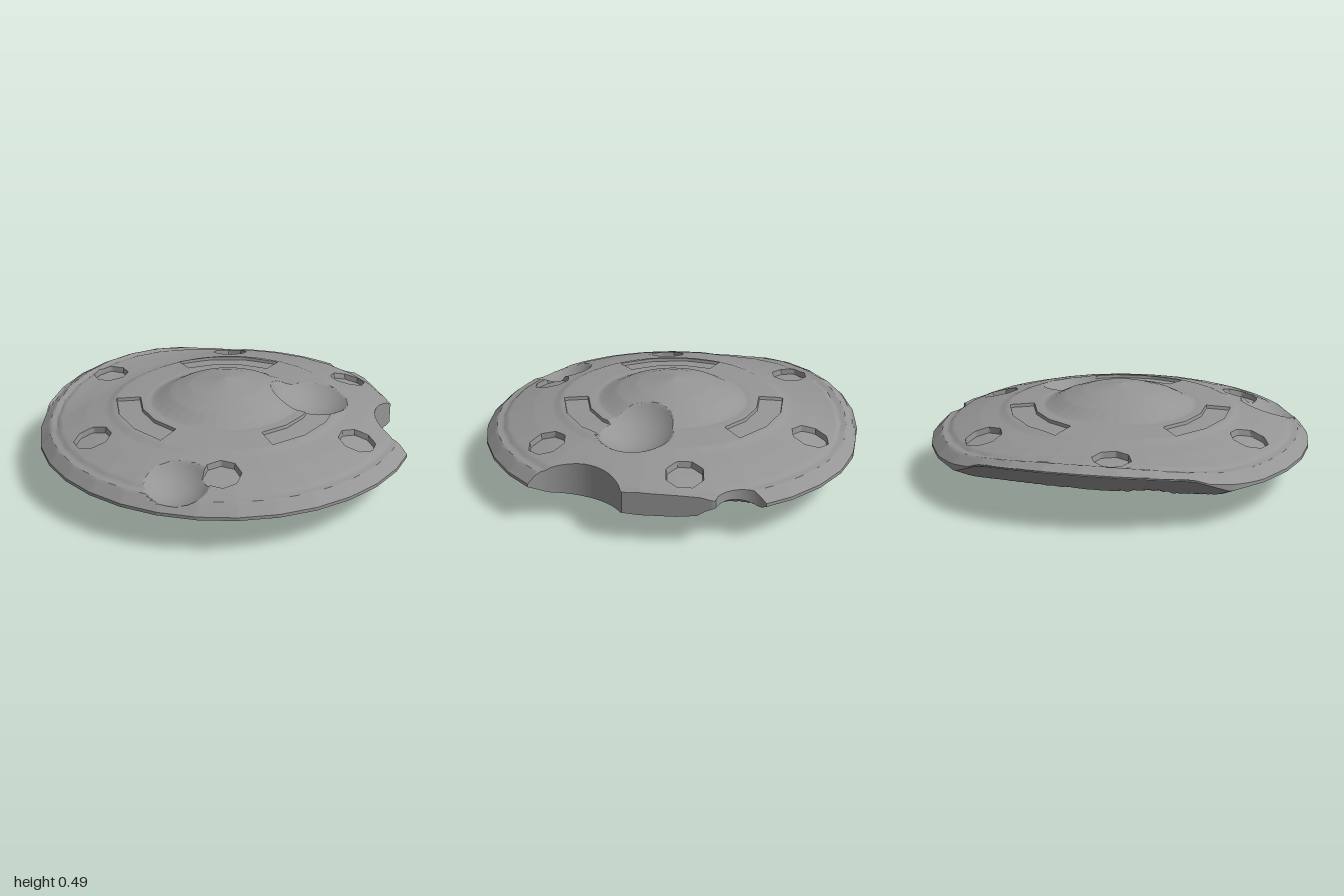
import * as THREE from 'three';
import { toCreasedNormals } from 'three/addons/utils/BufferGeometryUtils.js';

const CX = -0.03, SEGS = 480, SIDES = 32;
const TAU = Math.PI * 2;

// Radial profiles [radius, height] and the torn-away underside on the right flank [x, height]
const TOP = [[0, 0.49], [0.2, 0.452], [0.3, 0.42], [0.37, 0.385], [0.4, 0.373], [0.43, 0.374],
  [0.6, 0.362], [0.64, 0.346], [0.75, 0.323], [0.89, 0.283], [0.91, 0.268], [0.945, 0.264], [1, 0.212]];
const BOTTOM = [[0, 0], [0.2, 0.03], [0.3, 0.06], [0.38, 0.082], [0.65, 0.106], [0.9, 0.145], [1, 0.195]];
const TEAR = [[-0.97, 0.303], [-0.85, 0.27], [-0.75, 0.2], [-0.65, 0.13], [-0.6, 0.07], [-0.55, 0]];

// Spherical dents [x, y, z, radius]
const TOP_DENTS = [[0.33, 0.57, -0.33, 0.28], [0.35, 0.45, 0.8, 0.23]];
const BOTTOM_DENTS = [[0.08, -0.036, -0.95, 0.26], [-0.19, 0, 0.66, 0.13]];

const PORTHOLES = [[-0.53, -0.6], [0.23, -0.74], [0.73, -0.15], [0.46, 0.58], [-0.3, 0.72], [-0.79, 0.12]];
const SLOTS = [-130, 111, -4].map(THREE.MathUtils.degToRad);

function lerpTable(table, t) {
  if (t <= table[0][0]) return table[0][1];
  for (let i = 1; i < table.length; i++) {
    const [a, ya] = table[i - 1], [b, yb] = table[i];
    if (t <= b) return ya + (yb - ya) * (t - a) / (b - a);
  }
  return table[table.length - 1][1];
}

// Angle measured from the middle of the nearest facet
const facetAngle = (angle, step) => ((angle % step) + step) % step - step / 2;

// Radius of the faceted rim, squashed a little on the right flank
function rimRadius(angle) {
  const step = TAU / SIDES;
  const squash = 1 - 0.06 * Math.max(0, -Math.cos(angle)) ** 5;
  return squash * Math.cos(step / 2) / Math.cos(facetAngle(angle, step));
}

// Rim radius after the bites and the straight break
function outline(angle) {
  const c = Math.cos(angle), s = Math.sin(angle);
  let r = rimRadius(angle);
  for (const [bx, bz, br] of [[0.85, -0.66, 0.305], [0.06, -1.06, 0.155]]) {
    const dx = bx - CX, along = dx * c + bz * s;
    const h = br * br - (dx * dx + bz * bz - along * along);
    if (along > 0 && h > 0) r = Math.min(r, along - Math.sqrt(h));
  }
  const n = 0.515 * c - 0.857 * s;
  return n > 0 ? Math.min(r, (0.891 - 0.515 * CX) / n) : r;
}

// Signed distance to the nearest porthole or arc slot (negative inside)
function recessDistance(x, z) {
  let best = 1;
  for (const [px, pz] of PORTHOLES) {
    let d = -1;
    for (let k = 0; k < 8; k++) {
      const a = (k + 0.5) * TAU / 8;
      d = Math.max(d, (x - px) * Math.cos(a) + (z - pz) * Math.sin(a) - 0.088);
    }
    best = Math.min(best, d);
  }
  const r = Math.hypot(x - CX, z), angle = Math.atan2(z, x - CX);
  for (const mid of SLOTS) {
    const off = Math.atan2(Math.sin(angle - mid), Math.cos(angle - mid));
    const across = r * Math.cos(facetAngle(off + 0.5, 1 / 3)) / Math.cos(1 / 6);
    best = Math.min(best, Math.max(Math.abs(across - 0.52) - 0.063, (Math.abs(off) - 0.5) * r));
  }
  return best;
}

// Pull grid points next to a recess onto its edge so the walls stay crisp
function snapToRecess([x, z]) {
  const d = recessDistance(x, z), e = 0.0005;
  if (Math.abs(d) > 0.015) return [x, z];
  const gx = (recessDistance(x + e, z) - d) / e, gz = (recessDistance(x, z + e) - d) / e;
  const move = (d < 0 ? -0.002 : 0.002) - d;
  return [x + gx * move, z + gz * move];
}

const profileRadius = (x, z) => Math.hypot(x - CX, z) / rimRadius(Math.atan2(z, x - CX));

function topHeight(x, z) {
  let y = lerpTable(TOP, profileRadius(x, z));
  if (recessDistance(x, z) < 0) y -= Math.hypot(x - CX, z) < 0.62 ? 0.016 : 0.03;
  // Rim bent upward over the torn flank
  if (x < -0.6) y = Math.max(y + 0.098 * ((-0.6 - x) / 0.37) ** 1.8, lerpTable(TEAR, x) + 0.008);
  for (const [dx, dy, dz, r] of TOP_DENTS) {
    const h = r * r - (x - dx) ** 2 - (z - dz) ** 2;
    if (h > 0) y = Math.min(y, dy - Math.sqrt(h));
  }
  return y;
}

function bottomHeight(x, z) {
  let y = Math.max(lerpTable(BOTTOM, profileRadius(x, z)), lerpTable(TEAR, x));
  for (const [dx, dy, dz, r] of BOTTOM_DENTS) {
    const h = r * r - (x - dx) ** 2 - (z - dz) ** 2;
    if (h > 0) y = Math.max(y, dy + Math.sqrt(h));
  }
  // Long gouge beside the torn flank
  const u = (-0.48 * (x + 0.42) + 0.88 * z) / 0.46, v = (0.88 * (x + 0.42) + 0.48 * z) / 0.13;
  y += 0.05 * Math.max(0, 1 - u * u - v * v);
  return Math.min(y, topHeight(x, z) - 0.004);
}

function toGeometry(points, index) {
  const geometry = new THREE.BufferGeometry();
  geometry.setAttribute('position', new THREE.Float32BufferAttribute(points, 3));
  geometry.setIndex(index);
  return toCreasedNormals(geometry, 0.5);
}

// Polar sheet clipped to the damaged outline
function sheet(rings, height, facesUp) {
  const points = [], index = [], radii = [];
  for (let i = 0; i < SEGS; i++) {
    const angle = i / SEGS * TAU, limit = outline(angle);
    for (let j = 0; j <= rings; j++) {
      const r = j === rings ? limit : Math.min(j / rings, limit);
      let p = [CX + r * Math.cos(angle), r * Math.sin(angle)];
      if (facesUp && r < limit) p = snapToRecess(p);
      points.push(p[0], height(p[0], p[1]), p[1]);
      radii.push(r);
    }
  }
  const tri = (a, b, c) => index.push(...(facesUp ? [a, b, c] : [a, c, b]));
  for (let i = 0; i < SEGS; i++) {
    for (let j = 0; j < rings; j++) {
      const a = i * (rings + 1) + j, b = ((i + 1) % SEGS) * (rings + 1) + j;
      if (radii[a + 1] > radii[a]) tri(a, b + 1, a + 1);
      if (j > 0 && radii[b + 1] > radii[b]) tri(a, b, b + 1);
    }
  }
  return toGeometry(points, index);
}

// Wall joining the two sheets around the outline
function edgeWall() {
  const points = [], index = [];
  for (let i = 0; i < SEGS; i++) {
    const angle = i / SEGS * TAU, r = outline(angle);
    const x = CX + r * Math.cos(angle), z = r * Math.sin(angle);
    points.push(x, bottomHeight(x, z), z, x, topHeight(x, z), z);
    const a = i * 2, b = ((i + 1) % SEGS) * 2;
    index.push(a, a + 1, b + 1, a, b + 1, b);
  }
  return toGeometry(points, index);
}

export function createModel() {
  const group = new THREE.Group();
  group.name = 'damagedSaucer';
  const material = new THREE.MeshStandardMaterial({ color: 0x959595 });
  const add = (name, geometry) => {
    const mesh = new THREE.Mesh(geometry, material);
    mesh.name = name;
    group.add(mesh);
  };
  add('upperHull', sheet(100, topHeight, true));
  add('underside', sheet(40, bottomHeight, false));
  add('brokenRim', edgeWall());
  return group;
}
